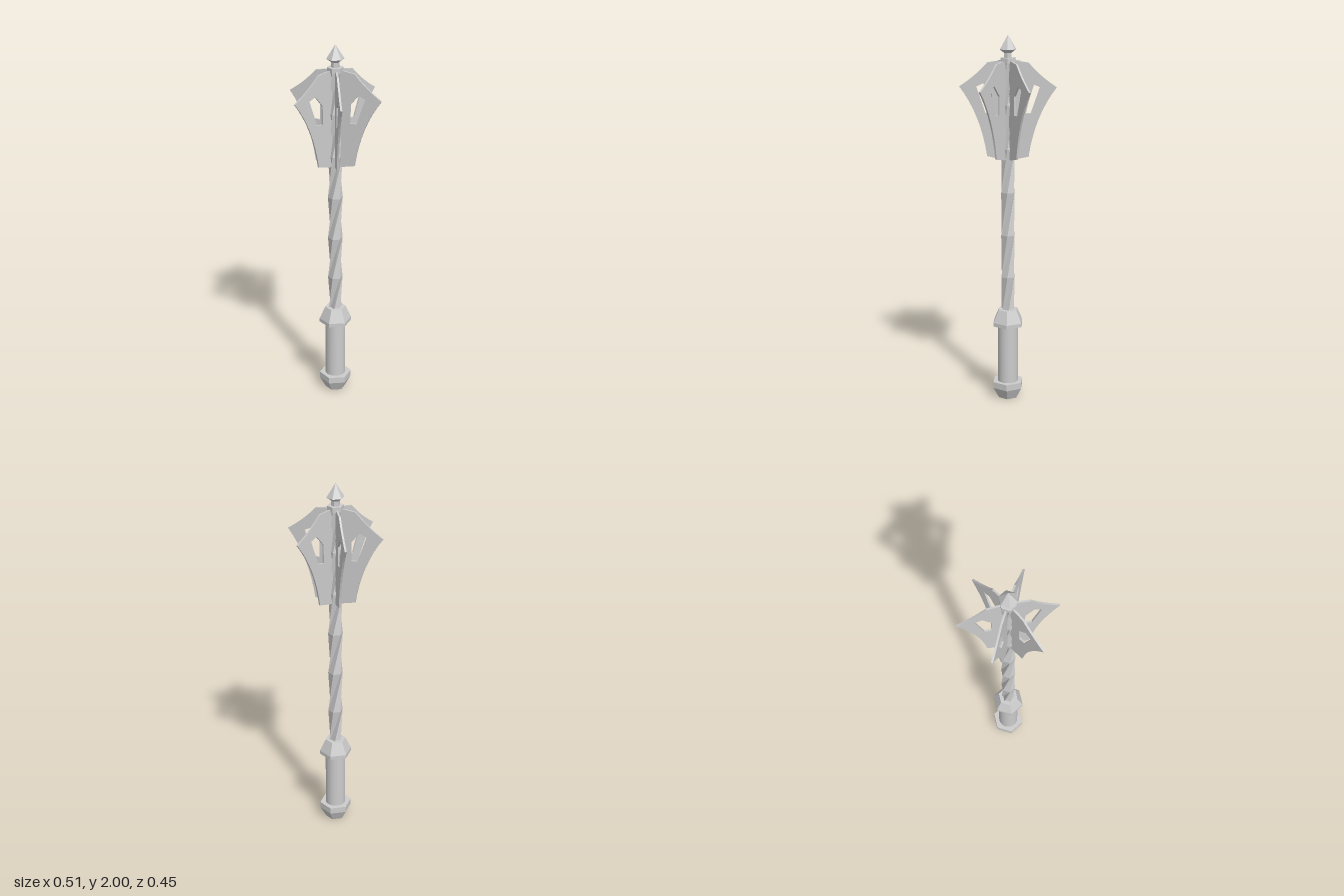
import * as THREE from 'three';

const flat = new THREE.MeshStandardMaterial({ color: 0xcccccc, flatShading: true });
const smooth = new THREE.MeshStandardMaterial({ color: 0xcccccc });

export function createModel() {
  const group = new THREE.Group();

  const add = (name, geometry, material = flat) => {
    const mesh = new THREE.Mesh(geometry, material);
    mesh.name = name;
    group.add(mesh);
    return mesh;
  };

  // Six-sided turned part from [radius, height] pairs, bottom to top
  const hexTurned = (name, profile) =>
    add(name, new THREE.LatheGeometry(profile.map(([r, y]) => new THREE.Vector2(r, y)), 6));

  hexTurned('pommel', [[0, 0], [0.055, 0], [0.088, 0.06], [0.088, 0.095], [0, 0.095]]);
  hexTurned('guard', [[0, 0.42], [0.088, 0.42], [0.088, 0.44], [0.056, 0.51], [0, 0.51]]);
  hexTurned('collar', [[0, 1.855], [0.043, 1.855], [0.043, 1.882], [0, 1.882]]);
  hexTurned('finial', [[0.022, 1.87], [0.022, 1.908], [0.047, 1.926], [0, 2]]);

  // Round grip
  add('grip', new THREE.CylinderGeometry(0.055, 0.055, 0.34, 24), smooth).position.y = 0.255;

  // Twisted shaft: each ring turns a further 60 degrees
  const rings = 6, pitch = 0.235, base = 0.46;
  const shaft = new THREE.CylinderGeometry(0.04, 0.04, rings * pitch, 6, rings);
  shaft.translate(0, base + rings * pitch / 2, 0);
  const pos = shaft.attributes.position;
  const v = new THREE.Vector3(), up = new THREE.Vector3(0, 1, 0);
  for (let i = 0; i < pos.count; i++) {
    v.fromBufferAttribute(pos, i);
    v.applyAxisAngle(up, (v.y - base) / pitch * Math.PI / 3);
    pos.setXYZ(i, v.x, v.y, v.z);
  }
  add('shaft', shaft);

  // Pierced flange, repeated around the head
  const outline = new THREE.Shape();
  outline.moveTo(0.02, 1.345);
  outline.lineTo(0.04, 1.345);
  outline.lineTo(0.11, 1.36);
  outline.quadraticCurveTo(0.142, 1.58, 0.256, 1.73);
  outline.quadraticCurveTo(0.17, 1.785, 0.108, 1.857);
  outline.lineTo(0.05, 1.866);
  outline.lineTo(0.02, 1.866);
  outline.closePath();
  outline.holes.push(new THREE.Path([
    [0.167, 1.73], [0.13, 1.747], [0.084, 1.69], [0.084, 1.59], [0.12, 1.592],
  ].map(([x, y]) => new THREE.Vector2(x, y))));
  const thickness = 0.01;
  const flange = new THREE.ExtrudeGeometry(outline, { depth: thickness, bevelEnabled: false, curveSegments: 8 });
  flange.translate(0, 0, -thickness / 2);
  for (let i = 0; i < 6; i++) add('flange' + (i + 1), flange).rotation.y = i * Math.PI / 3;

  return group;
}
